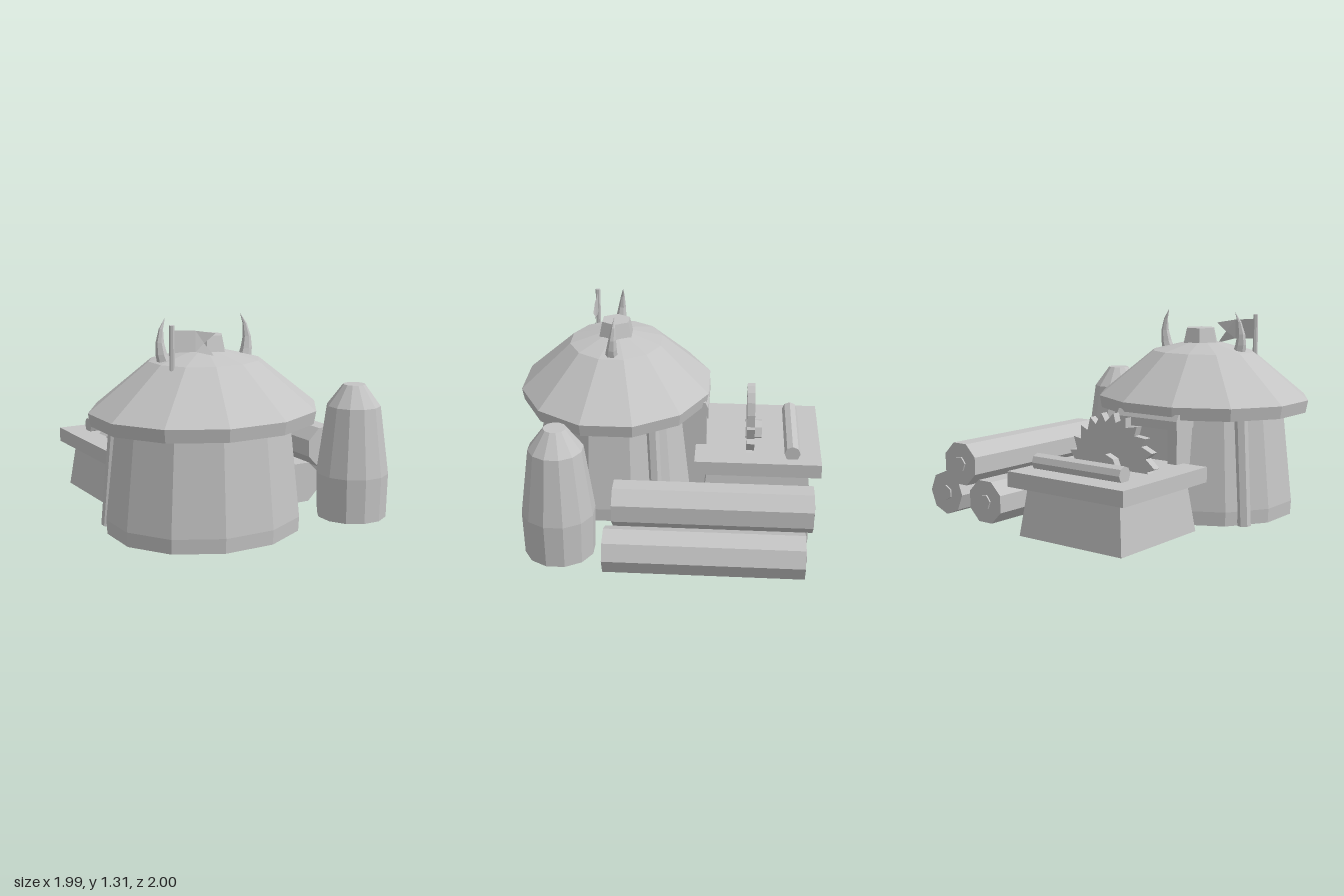
import * as THREE from 'three';

const RAD = Math.PI / 180;
const HUT = { x: -0.3, z: 0.375, sz: 0.89 };

export function createModel() {
  const root = new THREE.Group();
  const grey = new THREE.MeshStandardMaterial({ color: 0xc4c4c4 });
  grey.name = 'plain grey';
  grey.flatShading = true;
  grey.side = THREE.DoubleSide;

  const add = (name, geo, x = 0, y = 0, z = 0, parent = root) => {
    const m = new THREE.Mesh(geo, grey);
    m.name = name;
    m.position.set(x, y, z);
    parent.add(m);
    return m;
  };

  // Twelve-sided shell; profile widths are measured across the flats
  const shell = (profile) => new THREE.LatheGeometry(
    profile.map(([r, y]) => new THREE.Vector2(r / Math.cos(15 * RAD), y)), 12, 15 * RAD);

  // Straight prism between two points
  const rod = (name, a, b, r, sides, parent = root) => {
    const dir = new THREE.Vector3().subVectors(b, a);
    const m = add(name, new THREE.CylinderGeometry(r, r, dir.length(), sides), 0, 0, 0, parent);
    m.position.addVectors(a, b).multiplyScalar(0.5);
    m.quaternion.setFromUnitVectors(new THREE.Vector3(0, 1, 0), dir.normalize());
    return m;
  };

  // Hut wall and roof, slightly flattened front to back
  add('hutWall', shell([[0.6, 0], [0.605, 0.09], [0.54, 0.69]]), HUT.x, 0, HUT.z).scale.z = HUT.sz;
  add('hutRoof', shell([[0.53, 0.68], [0.685, 0.675], [0.7, 0.755], [0.338, 1.05], [0.12, 1.105], [0, 1.11]]),
    HUT.x, 0, HUT.z).scale.z = HUT.sz;

  // Six-sided roof cap
  const cap = add('roofCap', new THREE.CylinderGeometry(0.1, 0.125, 0.11, 6), -0.28, 1.145, HUT.z);
  cap.rotation.y = 30 * RAD;

  // Curved horns, lofted from hexagonal rings
  const hornRings = [[0.275, 1.03, 0.044], [0.295, 1.1, 0.035], [0.302, 1.17, 0.025], [0.29, 1.25, 0.013], [0.262, 1.31, 0.001]];
  const hornGeometry = (side) => {
    const geo = new THREE.CylinderGeometry(1, 1, 1, 6, hornRings.length - 1, true);
    const p = geo.attributes.position;
    for (let i = 0; i < p.count; i++) {
      const ring = hornRings[Math.round((p.getY(i) + 0.5) * (hornRings.length - 1))];
      p.setXYZ(i, side * ring[0] + p.getX(i) * ring[2], ring[1], p.getZ(i) * ring[2] + 0.09 * (1.05 - ring[1]));
    }
    geo.computeVertexNormals();
    return geo;
  };
  for (const side of [-1, 1]) add(side > 0 ? 'leftHorn' : 'rightHorn', hornGeometry(side), -0.297, 0, 0.38);

  // Flag with a notched tail
  rod('flagPole', new THREE.Vector3(-0.605, 1.02, 0.535), new THREE.Vector3(-0.605, 1.29, 0.535), 0.016, 6);
  const flagShape = new THREE.Shape([[-0.6, 1.26], [-0.45, 1.25], [-0.31, 1.225], [-0.385, 1.17], [-0.32, 1.09],
    [-0.45, 1.125], [-0.6, 1.13]].map(([x, y]) => new THREE.Vector2(x, y)));
  const flag = new THREE.ShapeGeometry(flagShape);
  const fp = flag.attributes.position;
  for (let i = 0; i < fp.count; i++) fp.setZ(i, 0.535 + 0.012 * Math.sin((fp.getX(i) + 0.6) * 20));
  flag.computeVertexNormals();
  add('flag', flag);

  // Wall posts beside the rear doorway, following the lean of the wall
  for (const side of [-1, 1]) {
    const at = (r, y) => new THREE.Vector3(HUT.x + side * r * Math.cos(33 * RAD), y,
      HUT.z - r * Math.sin(33 * RAD) * HUT.sz);
    rod('wallPost', at(0.625, 0), at(0.56, 0.69), 0.042, 6);
  }

  // Rear doorway: two jambs and a chamfered lintel
  for (const x of [-0.49, -0.105]) add('doorJamb', new THREE.BoxGeometry(0.07, 0.62, 0.19), x, 0.31, -0.145);
  const lintelShape = new THREE.Shape([[-0.05, 0.615], [0.25, 0.615], [0.25, 0.67], [0.23, 0.71], [-0.05, 0.71]]
    .map(([x, y]) => new THREE.Vector2(x, y)));
  const lintel = add('doorLintel', new THREE.ExtrudeGeometry(lintelShape, { depth: 0.465, bevelEnabled: false }), -0.065, 0, 0);
  lintel.rotation.y = Math.PI / 2;
  lintel.position.x = -0.53;

  // Tower
  add('tower', shell([[0.215, 0], [0.222, 0.285], [0.165, 0.72], [0.068, 0.855], [0, 0.855]]), 0.63, 0, 0.652);

  // Stacked logs: centre x, y, back z, front z, turn
  for (const [x, y, back, front, turn] of [
    [0.472, 0.15, -0.9, 0.32, 22.5], [0.67, 0.37, -0.917, 0.303, 22.5], [0.85, 0.152, -0.872, 0.347, 0]]) {
    const log = new THREE.Group();
    log.name = 'log';
    const body = new THREE.CylinderGeometry(0.143, 0.143, front - back, 8).rotateY(turn * RAD).rotateX(Math.PI / 2);
    add('logBody', body, 0, 0, (front + back) / 2, log);
    const core = new THREE.CylinderGeometry(0.05, 0.05, 0.02, 6).rotateY(turn * RAD).rotateX(Math.PI / 2);
    add('logCore', core, 0, 0, back, log);
    log.position.set(x, y, 0);
    root.add(log);
  }

  // Saw bench: slab on an open, flared base
  add('benchTop', new THREE.BoxGeometry(0.878, 0.095, 0.83), -0.262, 0.353, -0.585);
  const base = new THREE.CylinderGeometry(0.35 * Math.SQRT2, 0.39 * Math.SQRT2, 0.31, 4, 1, true).rotateY(45 * RAD);
  add('benchBase', base, -0.262, 0.155, -0.585).scale.z = 0.945;

  // Toothed saw blade and hub
  const teeth = 22;
  const bladePoints = [];
  for (let i = 0; i < teeth; i++) {
    const a = (i / teeth) * Math.PI * 2;
    const b = a + (0.75 / teeth) * Math.PI * 2;
    bladePoints.push(new THREE.Vector2(Math.cos(a) * 0.275, Math.sin(a) * 0.275));
    bladePoints.push(new THREE.Vector2(Math.cos(b) * 0.33, Math.sin(b) * 0.33));
  }
  const blade = new THREE.ExtrudeGeometry(new THREE.Shape(bladePoints), { depth: 0.052, bevelEnabled: false });
  add('sawBlade', blade, -0.262, 0.41, -0.56);
  rod('sawHub', new THREE.Vector3(-0.262, 0.41, -0.612), new THREE.Vector3(-0.262, 0.41, -0.498), 0.085, 8);

  // Guide bar lying on the bench
  rod('guideBar', new THREE.Vector3(-0.565, 0.44, -0.81), new THREE.Vector3(0.105, 0.44, -0.81), 0.052, 8);

  return root;
}
